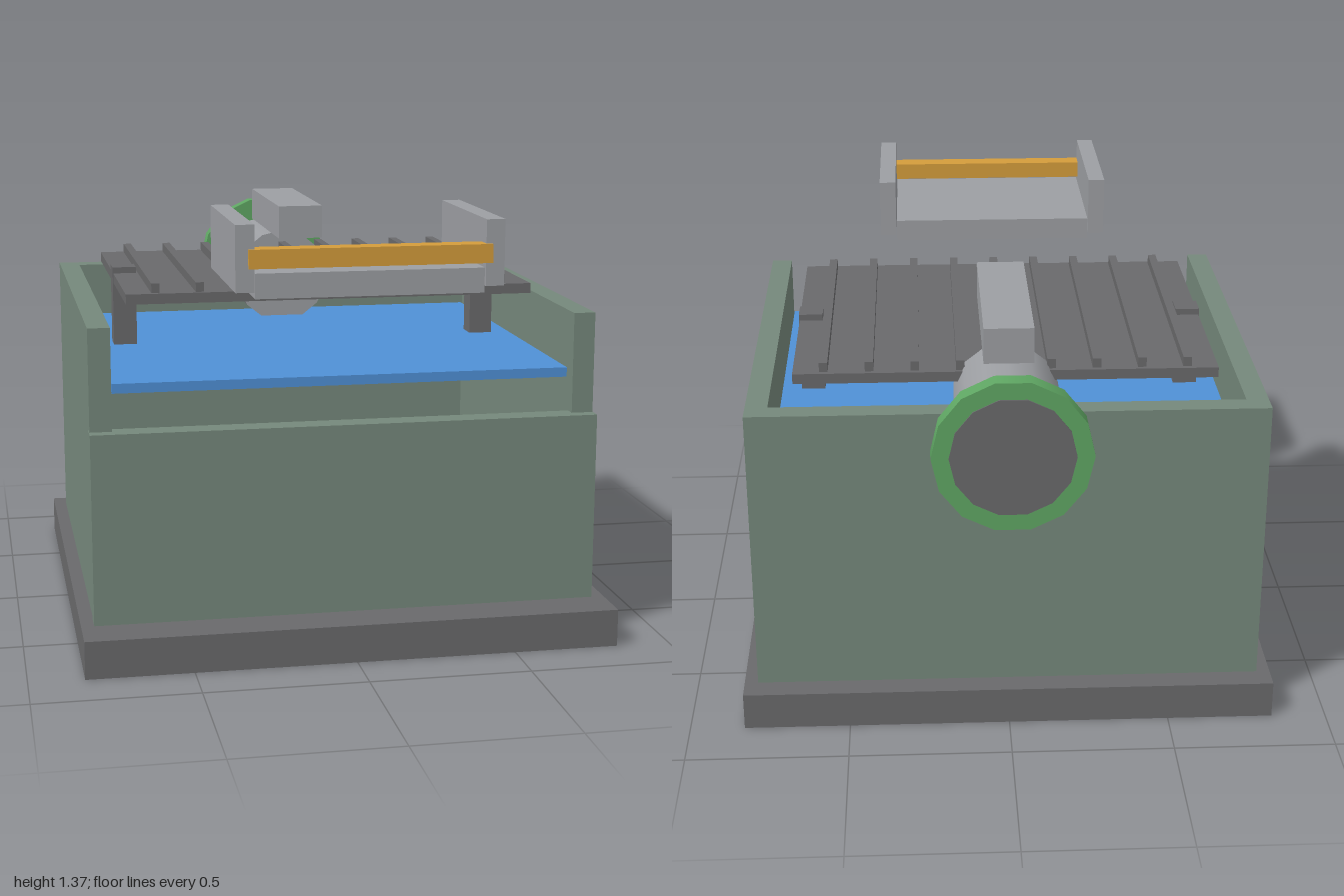
import * as THREE from 'three';

const mat = (name, color) => {
  const m = new THREE.MeshStandardMaterial({ color });
  m.name = name;
  return m;
};

export function createModel() {
  const model = new THREE.Group();
  model.name = 'filterTank';

  const wallGreen = mat('wallGreen', 0x75887b);
  const darkMetal = mat('darkMetal', 0x69696b);
  const lightMetal = mat('lightMetal', 0x9c9ea2);
  const waterBlue = mat('waterBlue', 0x4f90d6);
  const amber = mat('amber', 0xd39c3b);
  const flangeGreen = mat('flangeGreen', 0x5fa663);

  // Box given by its lower and upper corners
  const box = (name, material, [x0, y0, z0], [x1, y1, z1]) => {
    const mesh = new THREE.Mesh(new THREE.BoxGeometry(x1 - x0, y1 - y0, z1 - z0), material);
    mesh.position.set((x0 + x1) / 2, (y0 + y1) / 2, (z0 + z1) / 2);
    mesh.name = name;
    model.add(mesh);
  };
  // Matching boxes on both sides
  const pair = (name, material, [x0, y0, z0], [x1, y1, z1]) => {
    box(name + 'Left', material, [x0, y0, z0], [x1, y1, z1]);
    box(name + 'Right', material, [-x1, y0, z0], [-x0, y1, z1]);
  };
  // Cylinder lying along z
  const disc = (name, material, radius, z0, z1, start) => {
    const geo = new THREE.CylinderGeometry(radius, radius, z1 - z0, 14, 1, false, start);
    geo.rotateX(Math.PI / 2);
    const mesh = new THREE.Mesh(geo, material);
    mesh.position.set(0, 0.995, (z0 + z1) / 2);
    mesh.name = name;
    model.add(mesh);
  };

  // Base and open tank with a lower front wall
  box('base', darkMetal, [-0.83, 0, -0.83], [0.83, 0.118, 0.83]);
  pair('sideWall', wallGreen, [0.72, 0.118, -0.75], [0.788, 1.03, 0.65]);
  box('backWall', wallGreen, [-0.788, 0.118, -0.755], [0.788, 1.03, -0.685]);
  box('frontWall', wallGreen, [-0.79, 0.118, 0.615], [0.79, 0.713, 0.69]);
  box('water', waterBlue, [-0.715, 0.82, -0.69], [0.715, 0.85, 0.605]);

  // Ribbed rack on two posts
  box('rack', darkMetal, [-0.65, 1.058, -0.575], [0.65, 1.09, 0.41]);
  for (let i = -4; i <= 4; i++) {
    const x = i * 0.139;
    box('rackRib', lightMetal === null ? lightMetal : darkMetal, [x - 0.013, 1.09, -0.56], [x + 0.013, 1.12, 0.395]);
  }
  pair('rackPost', darkMetal, [0.575, 0.72, -0.12], [0.652, 1.11, -0.045]);

  // Rear pipe with flange and end plate
  disc('pipe', lightMetal, 0.165, -0.95, -0.525, 0);
  disc('flange', flangeGreen, 0.237, -0.996, -0.938, Math.PI / 2);
  disc('pipeEnd', darkMetal, 0.185, -1, -0.994, Math.PI / 2);
  box('topBar', lightMetal, [-0.075, 1.18, -0.735], [0.075, 1.29, -0.145]);

  // Front tray with side cheeks and a lip bar
  box('trayFloor', lightMetal, [-0.335, 1.157, 0.478], [0.335, 1.23, 0.982]);
  pair('trayCheek', lightMetal, [0.337, 1.177, 0.475], [0.392, 1.37, 0.988]);
  box('trayLip', amber, [-0.355, 1.245, 0.935], [0.355, 1.3, 0.998]);

  return model;
}
